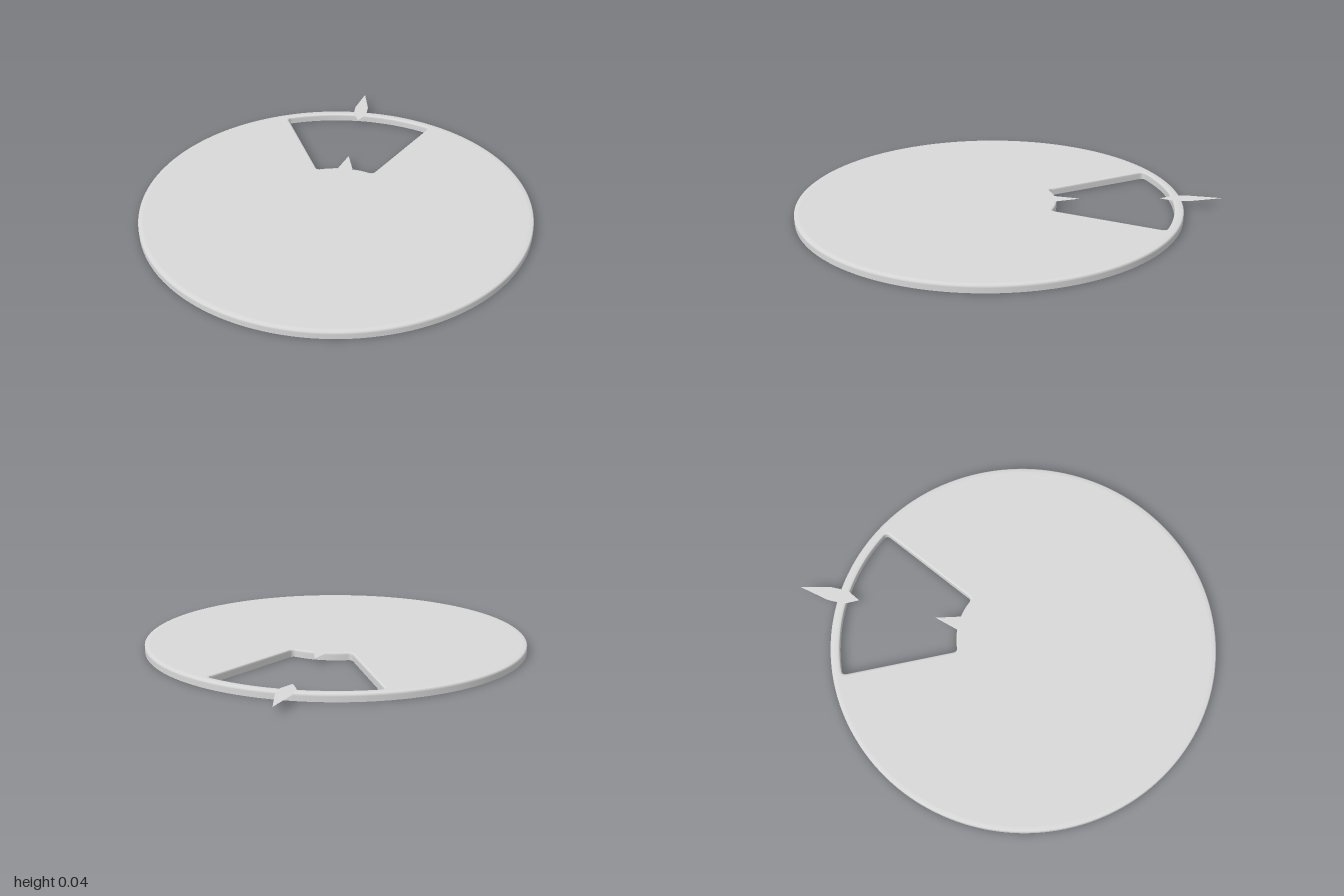
import * as THREE from 'three';

const R = 0.903, CY = -0.096;          // disc radius and centre (shape y = -z)
const TOP = 0.035, POINTER_Y = 0.038;

const grey = new THREE.MeshStandardMaterial({ color: 0xd8d8d8, side: THREE.DoubleSide });
grey.name = 'light grey';

// Point at radius r, angle a away from the back direction
const polar = (r, a) => [r * Math.sin(a), CY + r * Math.cos(a)];

// Sector-shaped opening with rounded corners
function windowPath() {
  const a = 0.45, ro = 0.86, ri = 0.314, c = 0.022, up = Math.PI / 2;
  const ao = a - c / ro, ai = a - c / ri;
  const p = new THREE.Path();
  p.moveTo(...polar(ro, -ao));
  p.absarc(0, CY, ro, up + ao, up - ao, true);
  p.quadraticCurveTo(...polar(ro, a), ...polar(ro - c, a));
  p.lineTo(...polar(ri + c, a));
  p.quadraticCurveTo(...polar(ri, a), ...polar(ri, ai));
  p.absarc(0, CY, ri, up - ai, up + ai, false);
  p.quadraticCurveTo(...polar(ri, -a), ...polar(ri + c, -a));
  p.lineTo(...polar(ro - c, -a));
  p.quadraticCurveTo(...polar(ro, -a), ...polar(ro, -ao));
  return p;
}

// Closed loop of points without doubles, each with its direction out of the disc
function loopOf(path, divisions) {
  const pts = path.getPoints(divisions);
  const loop = pts.filter((p, i) => p.distanceTo(pts[(i + 1) % pts.length]) > 1e-4);
  const n = loop.length;
  return loop.map((p, i) => {
    const t = loop[(i + 1) % n].clone().sub(loop[(i + n - 1) % n]).normalize();
    return { p, out: new THREE.Vector2(t.y, -t.x) };
  });
}

const offset = (loop, d) => loop.map(({ p, out }) => p.clone().addScaledVector(out, d));

// Soft top edge and upright wall along a loop, open at the bottom
function skirt(name, loop, inset) {
  const rows = [[-inset, TOP], [-inset * 0.25, TOP - 0.001], [0, TOP - 0.005], [0, TOP - 0.012], [0, 0]];
  const n = loop.length, pos = [], index = [];
  rows.forEach(([d, h], k) => {
    offset(loop, d).forEach((p, i) => {
      pos.push(p.x, h, -p.y);
      if (k === rows.length - 1) return;
      const a = k * n + i, b = k * n + (i + 1) % n;
      index.push(a, a + n, b, b, a + n, b + n);
    });
  });
  const geo = new THREE.BufferGeometry();
  geo.setAttribute('position', new THREE.Float32BufferAttribute(pos, 3));
  geo.setIndex(index);
  geo.computeVertexNormals();
  const mesh = new THREE.Mesh(geo, grey);
  mesh.name = name;
  return mesh;
}

// Flat horizontal sheet at height y
function sheet(name, shape, y) {
  const geo = new THREE.ShapeGeometry(shape);
  geo.rotateX(-Math.PI / 2);
  const mesh = new THREE.Mesh(geo, grey);
  mesh.name = name;
  mesh.position.y = y;
  return mesh;
}

// Flat pointer given its right-hand outline as [x, z]
function pointer(name, half) {
  const mirrored = half.filter(([x]) => x > 0).reverse().map(([x, z]) => [-x, z]);
  const pts = [...half, ...mirrored].map(([x, z]) => new THREE.Vector2(x, -z));
  return sheet(name, new THREE.Shape(pts), POINTER_Y);
}

export function createModel() {
  const model = new THREE.Group();
  model.name = 'windowDial';

  const rim = loopOf(new THREE.Path().absarc(0, CY, R, 0, Math.PI * 2, false), 72);
  const opening = loopOf(windowPath(), 24);
  const rimInset = 0.022, openingInset = 0.01;

  // Hollow disc: top face, outer wall and window wall
  const face = new THREE.Shape(offset(rim, -rimInset));
  face.holes.push(new THREE.Path(offset(opening, -openingInset)));
  model.add(sheet('discFace', face, TOP));
  model.add(skirt('outerWall', rim, rimInset));
  model.add(skirt('windowWall', opening, openingInset));

  // Pointers on the rim and at the hub
  model.add(pointer('rimPointer', [[0, -1], [0.034, -0.85], [0.034, -0.77], [0, -0.705]]));
  model.add(pointer('hubPointer', [[0, -0.33], [0.034, -0.215], [0.034, 0.125]]));
  return model;
}
